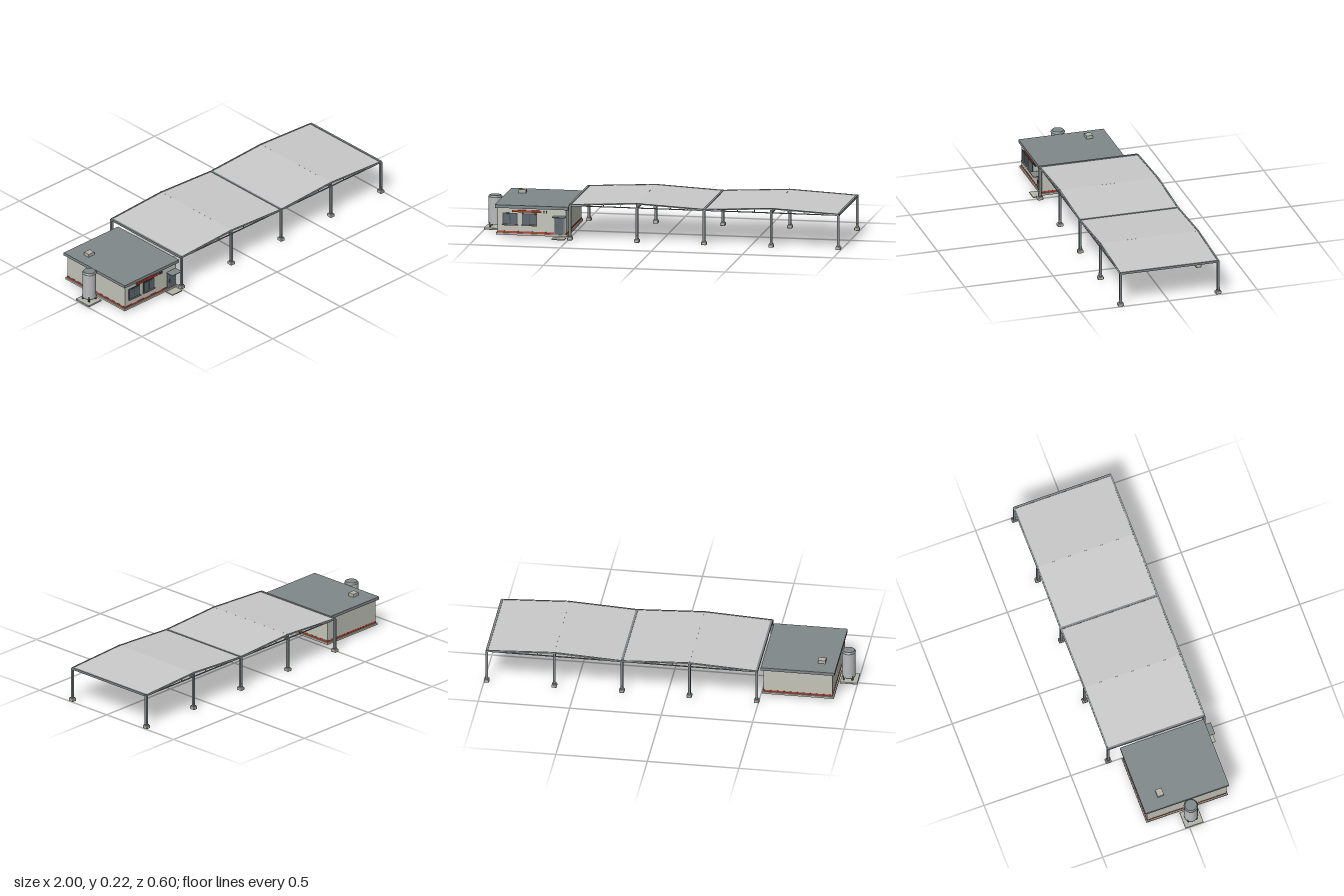
import * as THREE from 'three';
import { RoundedBoxGeometry } from 'three/addons/geometries/RoundedBoxGeometry.js';

const mat = (name, color) => Object.assign(new THREE.MeshStandardMaterial({ color }), { name });

export function createModel() {
  const wall = mat('wall plaster', 0xc4c5ba);
  const concrete = mat('concrete', 0xb4b5a9);
  const steel = mat('grey steel', 0x80888a);
  const sheet = mat('canopy sheet', 0xcacaca);
  const tankMat = mat('tank metal', 0xb9bbbc);
  const red = mat('red trim', 0xb5412f);
  const glass = mat('window glass', 0x5f6a70);
  const dark = mat('dark frame', 0x454b4e);

  const model = new THREE.Group();
  model.name = 'shelterAndOffice';

  const add = (parent, name, geometry, material) => {
    const mesh = new THREE.Mesh(geometry, material);
    mesh.name = name;
    parent.add(mesh);
    return mesh;
  };
  // Box given by its limits on each axis
  const box = (parent, name, material, [x0, x1], [y0, y1], [z0, z1], round = 0) => {
    const size = [x1 - x0, y1 - y0, z1 - z0];
    const geometry = round ? new RoundedBoxGeometry(...size, 2, round) : new THREE.BoxGeometry(...size);
    geometry.translate((x0 + x1) / 2, (y0 + y1) / 2, (z0 + z1) / 2);
    return add(parent, name, geometry, material);
  };
  const group = (name) => {
    const g = new THREE.Group();
    g.name = name;
    model.add(g);
    return g;
  };

  // Office: slab, red skirting, walls and flat roof
  const office = group('office');
  box(office, 'floorSlab', concrete, [-0.9, -0.508], [0.013, 0.024], [-0.212, 0.257]);
  box(office, 'skirting', red, [-0.893, -0.514], [0.024, 0.034], [-0.206, 0.251]);
  box(office, 'walls', wall, [-0.892, -0.515], [0.034, 0.162], [-0.205, 0.25]);
  box(office, 'roof', steel, [-0.905, -0.502], [0.161, 0.178], [-0.219, 0.262]);
  box(office, 'roofVent', concrete, [-0.841, -0.8], [0.178, 0.196], [-0.126, -0.09]);

  // Framed two-pane windows with sills
  for (const x of [-0.823, -0.717]) {
    box(office, 'windowFrame', dark, [x - 0.041, x + 0.041], [0.069, 0.134], [0.249, 0.2535]);
    for (const s of [-1, 1]) {
      box(office, 'windowPane', glass, [x + s * 0.019 - 0.017, x + s * 0.019 + 0.017], [0.074, 0.129], [0.25, 0.255]);
    }
    box(office, 'windowSill', steel, [x - 0.043, x + 0.043], [0.066, 0.071], [0.249, 0.26]);
  }
  // Sign strip and two lamps
  box(office, 'signStrip', red, [-0.81, -0.65], [0.14, 0.151], [0.25, 0.258]);
  for (const x of [-0.636, -0.622]) box(office, 'wallLamp', dark, [x - 0.003, x + 0.003], [0.139, 0.15], [0.25, 0.258]);

  // Door with frame, handle, awning and step
  const door = group('entrance');
  box(door, 'doorFrame', steel, [-0.58, -0.522], [0.024, 0.124], [0.249, 0.254]);
  box(door, 'doorLeaf', glass, [-0.574, -0.528], [0.026, 0.118], [0.25, 0.257]);
  box(door, 'doorHandle', dark, [-0.57, -0.566], [0.06, 0.08], [0.257, 0.261]);
  box(door, 'awning', steel, [-0.585, -0.515], [0.122, 0.126], [0.25, 0.298]);
  box(door, 'step', concrete, [-0.587, -0.515], [0.002, 0.008], [0.245, 0.3]);

  // Water tank on a base with short legs
  const tank = group('waterTank');
  const tx = -0.946, tz = 0.027;
  box(tank, 'tankBase', concrete, [-1, -0.905], [0.002, 0.012], [-0.024, 0.08], 0.002);
  const body = add(tank, 'tankBody', new THREE.CylinderGeometry(0.037, 0.037, 0.15, 32), tankMat);
  body.position.set(tx, 0.103, tz);
  const cap = add(tank, 'tankCap', new THREE.CylinderGeometry(0.032, 0.039, 0.009, 32), steel);
  cap.position.set(tx, 0.1825, tz);
  for (let i = 0; i < 4; i++) {
    const a = Math.PI / 4 + (i * Math.PI) / 2;
    const x = tx + 0.034 * Math.cos(a), z = tz + 0.034 * Math.sin(a);
    box(tank, 'tankLeg', dark, [x - 0.004, x + 0.004], [0.011, 0.04], [z - 0.004, z + 0.004]);
  }

  // Canopy: five pairs of posts, two shallow gabled bays
  const canopy = group('canopy');
  const posts = [-0.49, -0.122, 0.247, 0.616, 0.985];
  const rows = [0.269, -0.283];
  const eave = 0.192, ridge = 0.211;

  posts.forEach((x, i) => {
    for (const z of rows) {
      box(canopy, 'footing', concrete, [x - 0.014, x + 0.014], [0, 0.018], [z - 0.016, z + 0.016], 0.004);
      box(canopy, 'post', steel, [x - 0.0065, x + 0.0065], [0.017, 0.192], [z - 0.0065, z + 0.0065]);
      box(canopy, 'postPlate', steel, [x - 0.009, x + 0.009], [0.018, 0.022], [z - 0.009, z + 0.009]);
      box(canopy, 'postGusset', steel, [x - 0.002, x + 0.002], [0.02, 0.038], [z - 0.009, z + 0.009]);
    }
    // Cross beams, showing above the sheet at ends and valley
    const top = i % 2 ? 0.193 : 0.197;
    box(canopy, 'crossBeam', steel, [x - 0.006, x + 0.006], [0.185, top], [rows[1], rows[0]]);
  });

  // Sloping bar lying in the x-y plane
  const bar = (name, x0, y0, x1, y1, z, h, depth, material) => {
    const mesh = add(canopy, name, new THREE.BoxGeometry(Math.hypot(x1 - x0, y1 - y0), h, depth), material);
    mesh.position.set((x0 + x1) / 2, (y0 + y1) / 2, z);
    mesh.rotation.z = Math.atan2(y1 - y0, x1 - x0);
  };
  for (let i = 0; i < 4; i++) {
    const x0 = posts[i], x1 = posts[i + 1];
    const y0 = i % 2 ? ridge : eave, y1 = i % 2 ? eave : ridge;
    const zMid = (rows[0] + rows[1]) / 2;
    bar('roofSheet', x0, y0, x1, y1, zMid, 0.003, 0.566, sheet);
    for (const z of rows) {
      bar('topChord', x0, y0 + 0.001, x1, y1 + 0.001, z, 0.006, 0.006, steel);
      bar('bottomChord', x0, 0.189, x1, 0.189, z, 0.005, 0.005, steel);
      // Truss web uprights
      for (let k = 1; k < 4; k++) {
        const x = x0 + ((x1 - x0) * k) / 4, y = y0 + ((y1 - y0) * k) / 4;
        box(canopy, 'trussWeb', steel, [x - 0.002, x + 0.002], [0.189, y], [z - 0.002, z + 0.002]);
      }
    }
  }
  // Ridge uprights above the middle posts
  for (const x of [posts[1], posts[3]]) {
    for (const z of rows) box(canopy, 'ridgeUpright', steel, [x - 0.006, x + 0.006], [0.19, 0.215], [z - 0.004, z + 0.004]);
  }
  return model;
}
